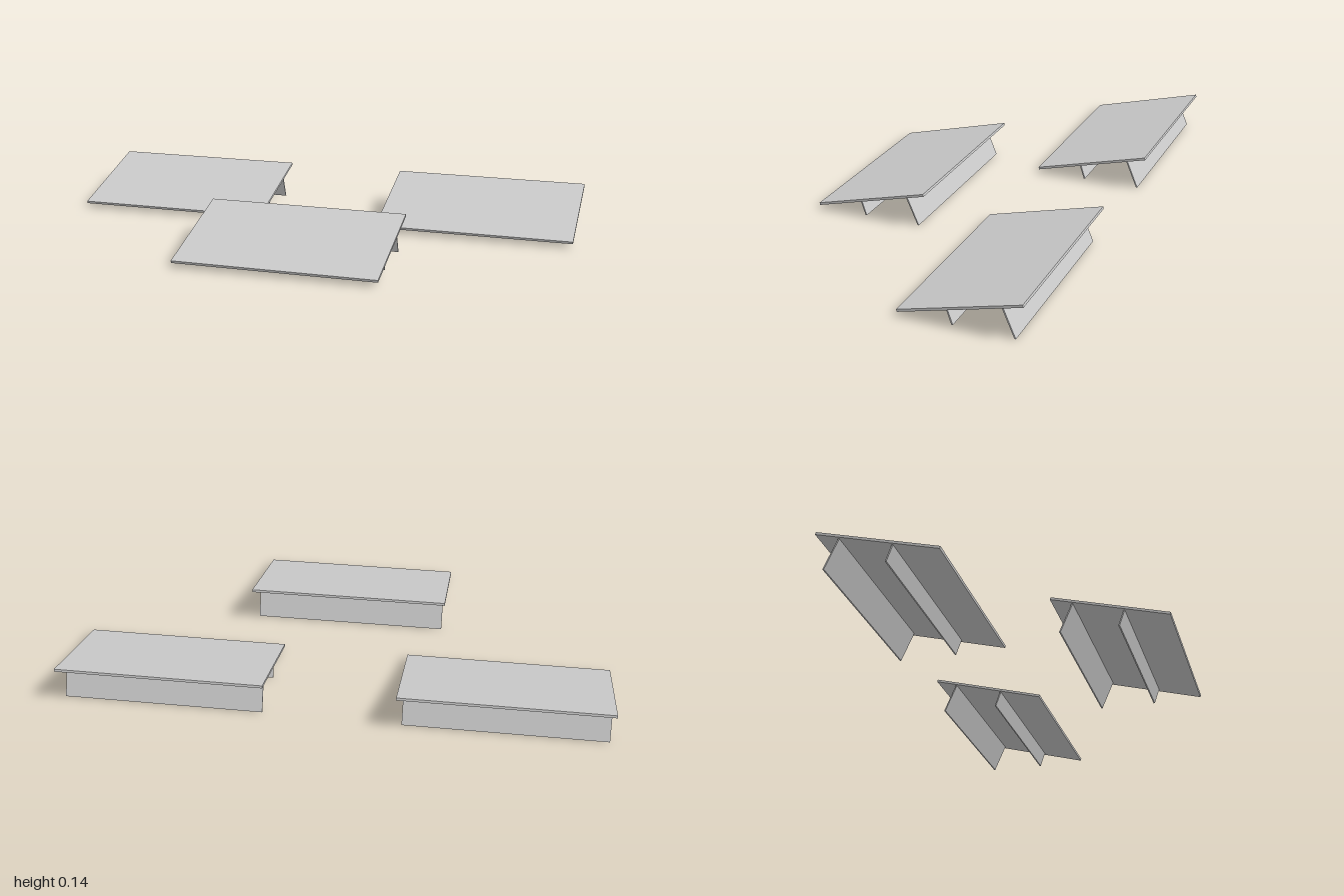
import * as THREE from 'three';

const material = new THREE.MeshStandardMaterial({ color: 0xcccccc });

// Side profile given as [z, y] points, extruded along x and centred
function profileMesh(name, points, width, x = 0) {
  const shape = new THREE.Shape(points.map(([z, y]) => new THREE.Vector2(z, y)));
  const geometry = new THREE.ExtrudeGeometry(shape, { depth: width, bevelEnabled: false });
  geometry.translate(0, 0, -width / 2);
  geometry.rotateY(-Math.PI / 2);
  const mesh = new THREE.Mesh(geometry, material);
  mesh.name = name;
  mesh.position.x = x;
  return mesh;
}

// Thin slanted support plate from the ground to the underside of the panel
function support(name, zFoot, zTop, yTop) {
  const h = 0.0025;
  const slope = -0.262;
  return profileMesh(name, [
    [zFoot - h, 0], [zFoot + h, 0],
    [zTop + h, yTop + slope * h], [zTop - h, yTop - slope * h],
  ], 0.732, -0.004);
}

function createPanel(name, x, z) {
  const group = new THREE.Group();
  group.name = name;
  group.add(
    // Tilted slab, low edge to the front
    profileMesh('slab', [
      [0.2176, 0.0155], [0.22, 0.0245], [-0.2176, 0.139], [-0.22, 0.13],
    ], 0.762),
    support('frontSupport', 0.031, 0.051, 0.0595),
    support('backSupport', -0.186, -0.139, 0.1095),
  );
  group.position.set(x, 0, z);
  return group;
}

export function createModel() {
  const model = new THREE.Group();
  model.name = 'tiltedPanels';
  model.add(
    createPanel('frontPanel', 0.02, 0.32),
    createPanel('backRightPanel', -0.619, -0.32),
    createPanel('backLeftPanel', 0.619, -0.313),
  );
  return model;
}
